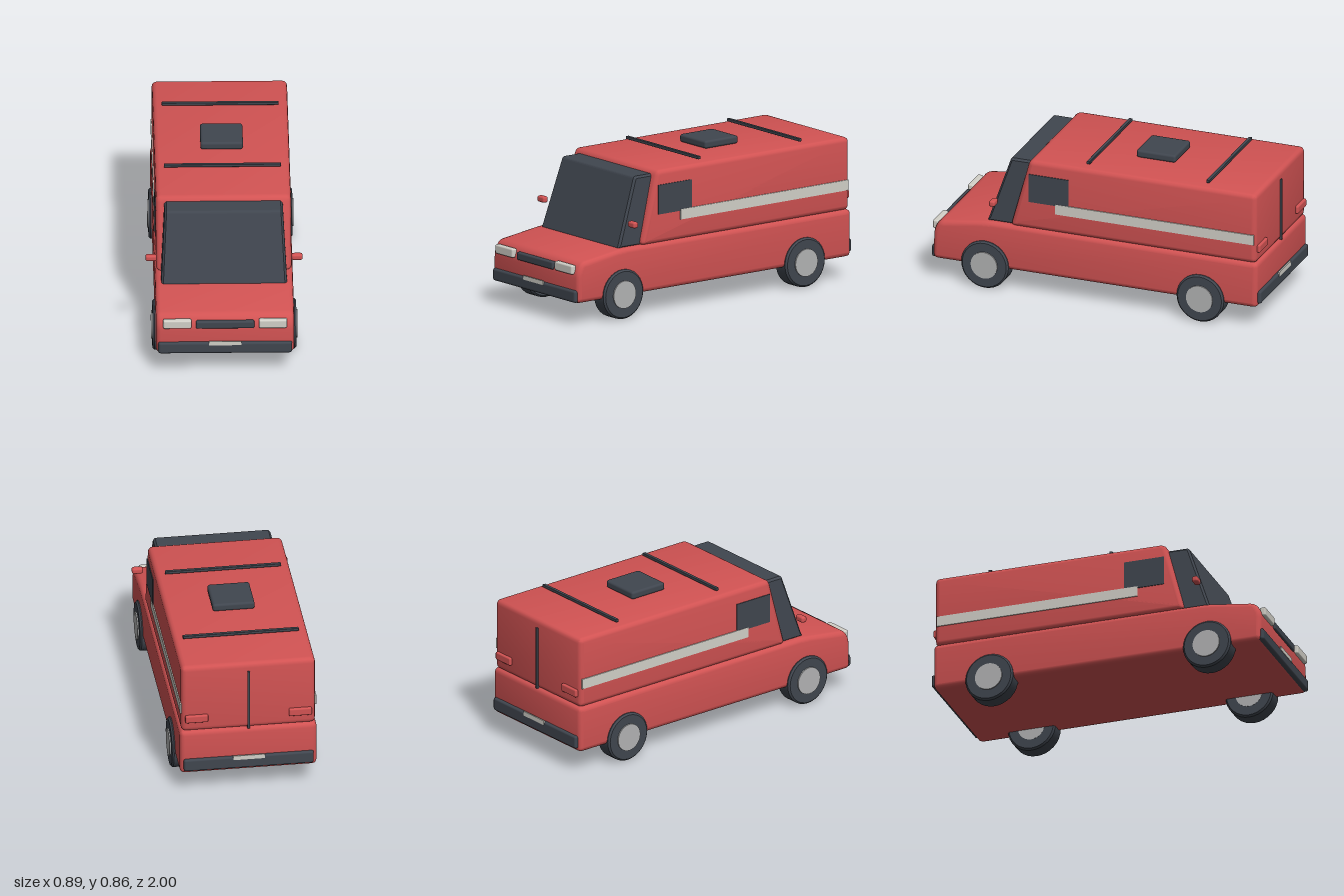
import * as THREE from 'three';
import { toCreasedNormals } from 'three/addons/utils/BufferGeometryUtils.js';
import { RoundedBoxGeometry } from 'three/addons/geometries/RoundedBoxGeometry.js';

const material = (name, color) => {
  const m = new THREE.MeshStandardMaterial({ color });
  m.name = name;
  return m;
};

// Side outline of [z, y, cornerRadius] points with rounded corners
function roundedOutline(points) {
  const shape = new THREE.Shape();
  points.forEach(([z, y, r], i) => {
    const p = new THREE.Vector2(z, y);
    const prev = points[(i + points.length - 1) % points.length];
    const next = points[(i + 1) % points.length];
    const toward = (q) => new THREE.Vector2(q[0], q[1]).sub(p).normalize().multiplyScalar(r).add(p);
    const a = toward(prev), b = toward(next);
    if (i === 0) shape.moveTo(a.x, a.y);
    else shape.lineTo(a.x, a.y);
    shape.quadraticCurveTo(p.x, p.y, b.x, b.y);
  });
  shape.closePath();
  return shape;
}

// Side outline extruded across the width, with bevelled long edges
function sideExtrusion(points, width, bevel, bevelSegments) {
  const depth = width - 2 * bevel;
  const geo = new THREE.ExtrudeGeometry(roundedOutline(points), {
    depth, curveSegments: 4, bevelEnabled: true, bevelThickness: bevel,
    bevelSize: bevel, bevelOffset: -bevel, bevelSegments,
  });
  geo.translate(0, 0, -depth / 2);
  geo.rotateY(-Math.PI / 2);
  return geo;
}

export function createModel() {
  const group = new THREE.Group();
  group.name = 'van';
  const red = material('red paint', 0xd25353);
  const dark = material('dark trim', 0x40464f);
  const cream = material('pale trim', 0xd2d0c8);
  const silver = material('wheel silver', 0xb2b3b4);

  const add = (name, geo, mat, x = 0, y = 0, z = 0) => {
    const mesh = new THREE.Mesh(geo, mat);
    mesh.name = name;
    mesh.position.set(x, y, z);
    group.add(mesh);
    return mesh;
  };
  const block = (name, mat, [w, h, d], [x, y, z], r = 0) =>
    add(name, r ? new RoundedBoxGeometry(w, h, d, 2, r) : new THREE.BoxGeometry(w, h, d), mat, x, y, z);

  // Lower body with sloping bonnet
  const lower = sideExtrusion([
    [0.985, 0.13, 0.03], [0.982, 0.305, 0.03], [0.95, 0.365, 0.03],
    [0.66, 0.404, 0.03], [-0.98, 0.404, 0.03], [-0.98, 0.13, 0.03],
  ], 0.78, 0.027, 3);
  add('lowerBody', toCreasedNormals(lower, 0.6), red);

  // Tall cargo body with raked front edge
  const upper = sideExtrusion([
    [0.52, 0.4, 0.03], [0.405, 0.82, 0.03], [-0.972, 0.82, 0.03], [-0.972, 0.4, 0.03],
  ], 0.764, 0.027, 3);
  add('cargoBody', toCreasedNormals(upper, 0.6), red);

  // Wraparound windscreen, narrowing toward the top
  const glass = sideExtrusion([
    [0.667, 0.397, 0.012], [0.532, 0.795, 0.014], [0.34, 0.795, 0.012], [0.34, 0.397, 0.012],
  ], 0.71, 0.012, 1);
  const pos = glass.attributes.position;
  for (let i = 0; i < pos.count; i++) {
    const t = (pos.getY(i) - 0.4) / 0.395;
    pos.setX(i, pos.getX(i) * (1 - 0.06 * t));
  }
  glass.computeVertexNormals();
  add('windscreen', glass, dark);

  // Front: bumper, grille, plate
  block('frontBumper', dark, [0.756, 0.072, 0.04], [0, 0.17, 0.978], 0.015);
  block('grille', dark, [0.33, 0.046, 0.03], [0, 0.313, 0.977], 0.01);
  block('frontPlate', cream, [0.184, 0.024, 0.008], [0, 0.202, 0.997]);

  // Rear: bumper, plate, door seam
  block('rearBumper', dark, [0.74, 0.075, 0.035], [0, 0.19, -0.98], 0.012);
  block('rearPlate', cream, [0.18, 0.026, 0.008], [0, 0.222, -0.996]);
  block('doorSeam', dark, [0.013, 0.37, 0.014], [0, 0.585, -0.975]);

  // Roof: crossbars and vent
  for (const z of [0.065, -0.66]) block('roofBar', dark, [0.66, 0.017, 0.02], [0, 0.838, z], 0.003);
  block('roofVent', dark, [0.24, 0.046, 0.237], [0, 0.843, -0.262], 0.014);

  // Wheel profiles as [radius, width] points, spun around the axle
  const tyreGeo = new THREE.LatheGeometry(
    [[0, -0.052], [0.133, -0.052], [0.143, -0.042], [0.143, 0.042], [0.133, 0.052], [0, 0.052]]
      .map(([r, h]) => new THREE.Vector2(r, h)), 32);
  const tyre = toCreasedNormals(tyreGeo.rotateZ(-Math.PI / 2), 0.5);
  const hub = new THREE.CylinderGeometry(0.08, 0.08, 0.112, 28).rotateZ(Math.PI / 2);

  for (const s of [1, -1]) {
    // Side window, stripe and mirror
    block('sideWindow', dark, [0.008, 0.17, 0.24], [s * 0.3825, 0.652, 0.283]);
    block('sideStripe', cream, [0.008, 0.06, 1.205], [s * 0.384, 0.546, -0.358]);
    block('mirror', red, [0.063, 0.036, 0.036], [s * 0.412, 0.543, 0.607], 0.012);
    // Head and tail lamps
    block('headlight', cream, [0.16, 0.053, 0.035], [s * 0.27, 0.321, 0.982], 0.01);
    block('tailLight', red, [0.13, 0.046, 0.03], [s * 0.295, 0.485, -0.974], 0.008);
    // Wheels
    for (const z of [0.665, -0.64]) {
      add('tyre', tyre, dark, s * 0.354, 0.145, z);
      add('hubcap', hub, silver, s * 0.357, 0.145, z);
    }
  }
  return group;
}
